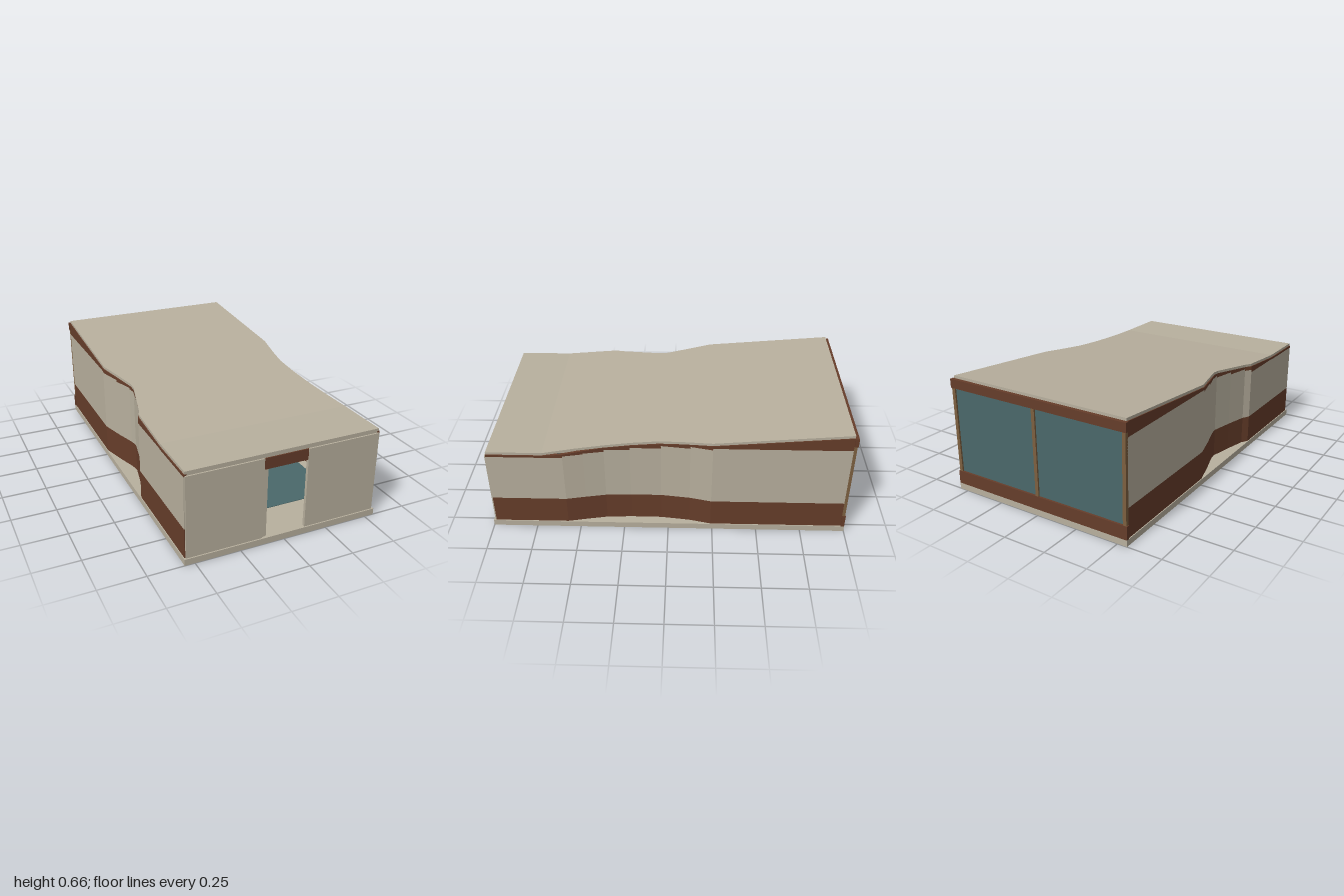
import * as THREE from 'three';
import { mergeGeometries } from 'three/addons/utils/BufferGeometryUtils.js';

const mat = (name, color) => {
  const m = new THREE.MeshStandardMaterial({ color });
  m.name = name;
  return m;
};

export function createModel() {
  const house = new THREE.Group();
  house.name = 'pavilion';
  const plaster = mat('beige plaster', 0xb8b09e);
  const timber = mat('brown timber', 0x663d2a);
  const glass = mat('teal glass', 0x4a686a);
  const oak = mat('tan oak', 0x7d6040);

  const add = (name, geometry, material) => {
    const mesh = new THREE.Mesh(geometry, material);
    mesh.name = name;
    house.add(mesh);
    return mesh;
  };
  // Box given by its limits on each axis
  const box = (name, material, x0, x1, y0, y1, z0, z1) => {
    const g = new THREE.BoxGeometry(x1 - x0, y1 - y0, z1 - z0);
    g.translate((x0 + x1) / 2, (y0 + y1) / 2, (z0 + z1) / 2);
    return add(name, g, material);
  };

  // Roof underside: level at the front, rising towards the back
  const FLOOR = 0.035;
  const BEND = 0.68;
  const roofY = z => 0.5 + Math.max(0, BEND - z) * 0.0873;

  box('baseSlab', plaster, -0.555, 0.555, 0, FLOOR, -1, 1);

  // Roof: a flat front strip and a waisted, sloping rear plate
  box('frontRoof', plaster, -0.545, 0.545, 0.5, 0.515, BEND, 0.985);
  const plan = [
    [0.545, BEND], [0.52, 0.5], [0.505, 0.35], [0.496, 0.2], [0.496, 0.05],
    [0.515, -0.08], [0.545, -0.24], [0.545, -0.98],
    [-0.545, -0.98], [-0.545, -0.24], [-0.505, -0.1], [-0.47, 0.03],
    [-0.47, 0.08], [-0.53, 0.33], [-0.545, 0.37], [-0.545, BEND]
  ];
  const roof = new THREE.ExtrudeGeometry(
    new THREE.Shape(plan.map(([x, z]) => new THREE.Vector2(x, -z))),
    { depth: 0.015, bevelEnabled: false });
  roof.rotateX(-Math.PI / 2);
  const rp = roof.attributes.position;
  for (let i = 0; i < rp.count; i++) rp.setY(i, rp.getY(i) + roofY(rp.getZ(i)));
  roof.computeVertexNormals();
  add('slopingRoof', roof, plaster);

  // Side walls: [x, z, top of the plaster up to the next point]
  const walls = {
    left: { side: 1, path: [
      [0.55, 0.985, 0.487], [0.55, BEND, 0.487], [0.55, 0.57, 0.498], [0.528, 0.46, 0.503],
      [0.508, 0.35, 0.514], [0.501, 0.21, 0.526], [0.502, 0.04, 0.543],
      [0.522, -0.12, 0.555], [0.55, -0.24, 0.565], [0.55, -0.98, 0]] },
    right: { side: -1, path: [
      [-0.55, 0.985, 0.487], [-0.55, BEND, 0.49], [-0.55, 0.37, 0.505], [-0.526, 0.33, 0.515],
      [-0.495, 0.2, 0.528], [-0.468, 0.07, 0.538], [-0.476, 0.02, 0.545],
      [-0.513, -0.1, 0.555], [-0.55, -0.24, 0.565], [-0.55, -0.98, 0]] }
  };
  const THICK = 0.015;
  // One band of a wall, made of boxes bent to follow the path
  const band = ({ side, path }, bottom, top) => {
    const parts = [];
    for (let i = 0; i < path.length - 1; i++) {
      const g = new THREE.BoxGeometry(1, 1, 1);
      const p = g.attributes.position;
      for (let k = 0; k < p.count; k++) {
        const end = p.getZ(k) > 0 ? path[i] : path[i + 1];
        const outer = p.getX(k) * side > 0;
        const y = p.getY(k) > 0 ? top(path[i], end[1]) : bottom(path[i], end[1]);
        p.setXYZ(k, end[0] - (outer ? 0 : side * THICK), y, end[1]);
      }
      g.computeVertexNormals();
      parts.push(g);
    }
    return mergeGeometries(parts);
  };
  for (const [name, wall] of Object.entries(walls)) {
    add(name + 'WallBase', band(wall, () => FLOOR, () => 0.2), timber);
    add(name + 'WallPlaster', band(wall, () => 0.2, s => s[2]), plaster);
    add(name + 'WallFrieze', band(wall, s => s[2], (s, z) => roofY(z)), timber);
  }

  // Front wall with the doorway
  box('frontWallRight', plaster, -0.545, -0.125, FLOOR, 0.492, 0.975, 0.993);
  box('frontWallLeft', plaster, 0.123, 0.545, FLOOR, 0.492, 0.975, 0.993);
  box('doorHeader', timber, -0.125, 0.123, 0.43, 0.492, 0.975, 0.991);
  box('frontWallPlate', plaster, -0.535, 0.535, 0.492, 0.5, 0.97, 0.985);
  box('doorJamb', plaster, -0.125, -0.1, FLOOR, 0.43, 0.95, 0.985);

  // Interior partitions with timber caps, and the floor inlay
  box('hallWall', plaster, -0.1, -0.088, FLOOR, 0.395, 0, 0.95);
  box('hallWallCap', timber, -0.1, -0.088, 0.395, 0.41, 0, 0.95);
  box('crossWall', plaster, -0.088, 0.055, FLOOR, 0.395, 0, 0.015);
  box('crossWallCap', timber, -0.088, 0.055, 0.395, 0.41, 0, 0.015);
  box('floorInlay', glass, -0.086, 0.45, FLOOR, 0.038, 0.1, 0.76);

  // Glazed back wall
  box('backSill', timber, -0.555, 0.555, FLOOR, 0.11, -1, -0.98);
  box('backHeader', timber, -0.555, 0.555, 0.595, 0.645, -1, -0.98);
  box('backGlass', glass, -0.54, 0.54, 0.11, 0.595, -0.988, -0.982);
  for (const x of [-0.54, 0, 0.54])
    box('backPost', oak, x - 0.01, x + 0.01, 0.11, 0.595, -0.997, -0.978);

  return house;
}
